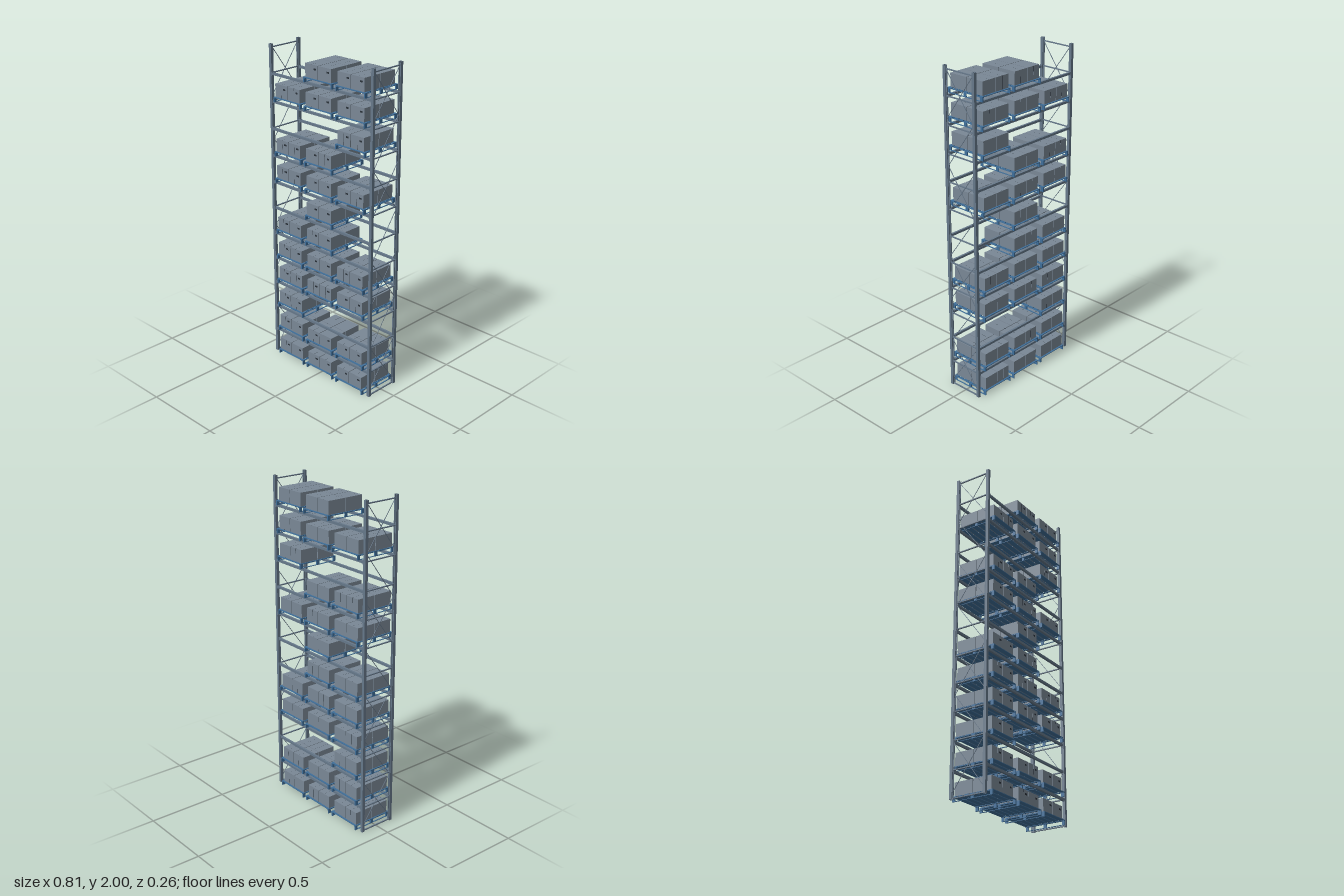
import * as THREE from 'three';

const steel = new THREE.MeshStandardMaterial({ color: 0x66788a });
const carton = new THREE.MeshStandardMaterial({ color: 0x7a8896 });
const blue = new THREE.MeshStandardMaterial({ color: 0x3f6f9a });
const dark = new THREE.MeshStandardMaterial({ color: 0x2a323a });

const PITCH = 1 / 6, POST_X = 0.397, POST_Z = 0.108;
// loads on each level, bottom to top
const LOADS = ['LCR', 'LCR', 'L', 'LCR', 'LCR', 'LC', 'C', 'LCR', 'LC', 'R', 'LCR', 'CR'];
const SLOT_X = { L: -0.25, C: 0, R: 0.25 };

function box(parent, name, mat, w, h, d, x, y, z) {
  const m = new THREE.Mesh(new THREE.BoxGeometry(w, h, d), mat);
  m.name = name;
  m.position.set(x, y, z);
  parent.add(m);
  return m;
}

// upright channel, open towards the inside of the frame
function upright(x, side) {
  const a = 0.009, t = 0.003;
  const s = new THREE.Shape();
  [[-a, -a], [a, -a], [a, a], [a - 2 * t, a], [a - 2 * t, a - t], [a - t, a - t], [a - t, -a + t],
    [-a + t, -a + t], [-a + t, a - t], [-a + 2 * t, a - t], [-a + 2 * t, a], [-a, a]]
    .forEach(([px, py], i) => (i ? s.lineTo(px, py) : s.moveTo(px, py)));
  const geo = new THREE.ExtrudeGeometry(s, { depth: 2, bevelEnabled: false });
  geo.rotateX(-Math.PI / 2);
  if (side < 0) geo.rotateY(Math.PI);
  const m = new THREE.Mesh(geo, steel);
  m.name = 'upright';
  m.position.set(x, 0, side * POST_Z);
  return m;
}

// thin diagonal rod in the side frame
function rod(parent, x, y0, z0, y1, z1) {
  const len = Math.hypot(y1 - y0, z1 - z0);
  const m = box(parent, 'diagonalBrace', steel, 0.003, len, 0.003, x, (y0 + y1) / 2, (z0 + z1) / 2);
  m.rotation.x = Math.atan2(z1 - z0, y1 - y0);
}

function sideFrame(x) {
  const g = new THREE.Group();
  g.name = 'sideFrame';
  g.add(upright(x, 1), upright(x, -1));
  const braces = [0.006, 1.98];
  for (let i = 1; i < LOADS.length; i++) braces.push(i * PITCH - 0.004);
  for (const y of braces) box(g, 'crossBrace', steel, 0.008, 0.006, 0.2, x, y, 0);
  // crossed bays alternate with single diagonals
  const bay = 0.277, z = 0.1;
  for (let i = 0; i < 7; i++) {
    const top = 1.98 - i * bay, low = top - bay;
    rod(g, x, low, z, top, -z);
    if (i % 2 === 0) rod(g, x, low, -z, top, z);
  }
  return g;
}

function pallet() {
  const g = new THREE.Group();
  g.name = 'pallet';
  // deck boards across the width
  for (let i = 0; i < 7; i++) {
    const edge = i === 0 || i === 6;
    box(g, 'deckBoard', blue, edge ? 0.22 : 0.212, 0.004, 0.03, edge ? 0 : -0.004, 0.028, -0.117 + i * 0.039);
  }
  for (const s of [-1, 1]) {
    box(g, 'endRail', blue, 0.012, 0.003, 0.264, s * 0.103, 0.0245, 0);
    box(g, 'skid', blue, 0.007, 0.003, 0.264, s * 0.1065, 0.0015, 0);
    for (const z of [-0.123, 0, 0.123]) box(g, 'foot', blue, 0.007, 0.026, 0.018, s * 0.1065, 0.013, z);
  }
  return g;
}

function cartonBox() {
  const g = new THREE.Group();
  g.name = 'carton';
  // two halves with a fine seam, and a dark hand hole
  for (const s of [-1, 1]) box(g, 'cartonHalf', carton, 0.0485, 0.079, 0.119, s * 0.0247, 0.0395, 0);
  box(g, 'seam', dark, 0.002, 0.0785, 0.1185, 0, 0.0395, 0);
  box(g, 'handHole', dark, 0.018, 0.01, 0.001, 0.026, 0.055, 0.0595);
  return g;
}

function loadedPallet() {
  const g = pallet();
  g.name = 'loadedPallet';
  for (const x of [-0.055, 0.047]) for (const z of [-0.0615, 0.0615]) {
    const c = cartonBox();
    c.position.set(x, 0.03, z);
    g.add(c);
  }
  return g;
}

export function createModel() {
  const model = new THREE.Group();
  model.name = 'palletRack';
  model.add(sideFrame(-POST_X), sideFrame(POST_X));
  const load = loadedPallet();
  LOADS.forEach((slots, level) => {
    const y = level * PITCH;
    // front and back beams with end plates
    if (level > 0) for (const s of [-1, 1]) {
      box(model, 'beam', steel, 0.776, 0.014, 0.013, 0, y - 0.007, s * 0.109);
      for (const e of [-1, 1]) box(model, 'beamPlate', steel, 0.004, 0.022, 0.016, e * 0.386, y - 0.008, s * 0.109);
    }
    for (const slot of slots) {
      const p = load.clone();
      p.position.set(SLOT_X[slot], y, 0);
      model.add(p);
    }
  });
  return model;
}
